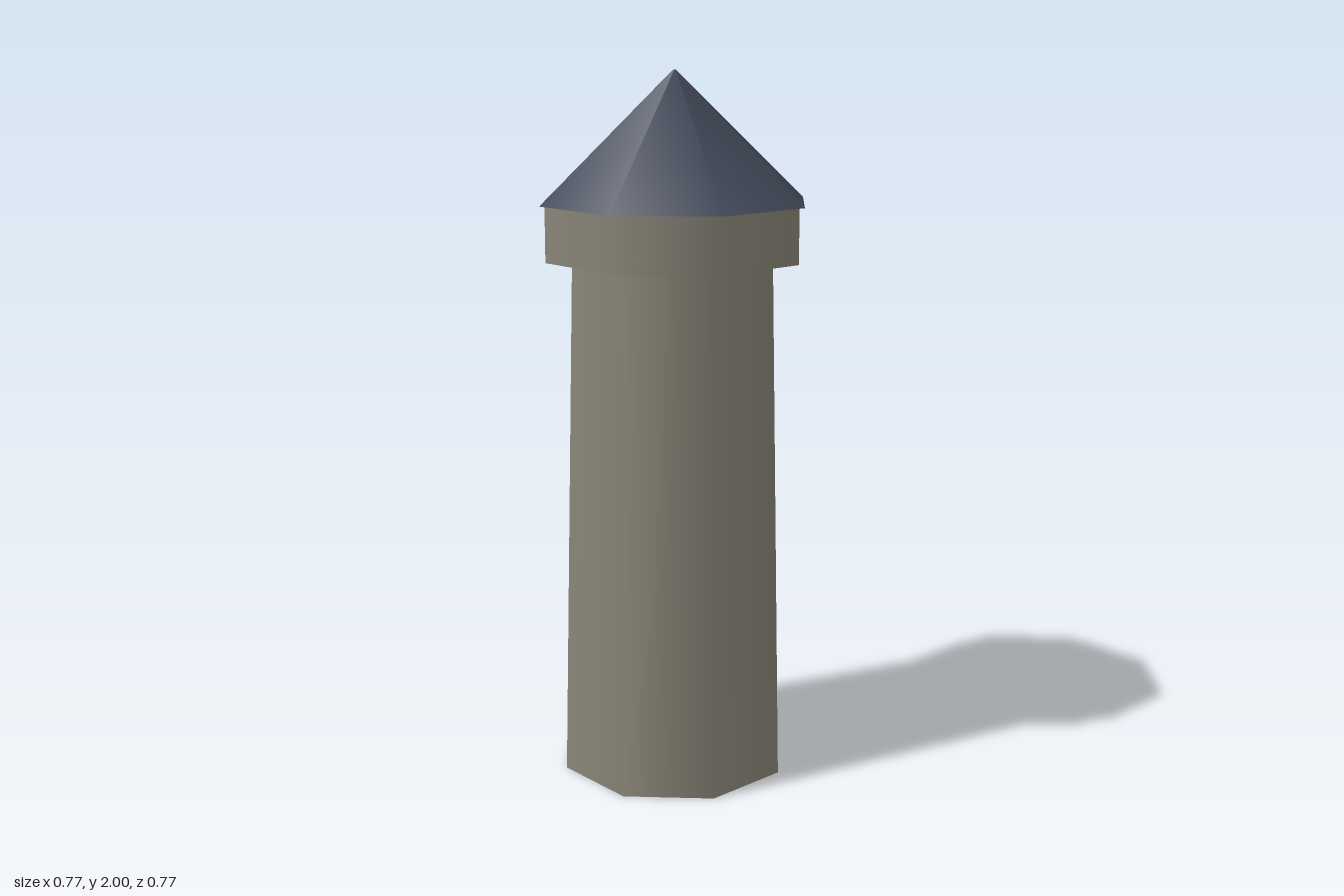
import * as THREE from 'three';

const SIDES = 8;

export function createModel() {
  const model = new THREE.Group();
  model.name = 'tower';

  const stone = new THREE.MeshStandardMaterial({ color: 0x8a8578 });
  stone.name = 'stone';
  const slate = new THREE.MeshStandardMaterial({ color: 0x434a5a });
  slate.name = 'slate';

  // Eight-sided, smooth-shaded section standing between two heights
  function addSection(name, material, bottomRadius, topRadius, y0, y1) {
    const geometry = new THREE.CylinderGeometry(topRadius, bottomRadius, y1 - y0, SIDES);
    const mesh = new THREE.Mesh(geometry, material);
    mesh.name = name;
    mesh.position.y = (y0 + y1) / 2;
    model.add(mesh);
  }

  // Tapered shaft, overhanging collar and pointed roof
  addSection('shaft', stone, 0.334, 0.297, 0, 1.488);
  addSection('collar', stone, 0.372, 0.372, 1.488, 1.642);
  addSection('roof', slate, 0.387, 0.004, 1.642, 2);

  return model;
}
